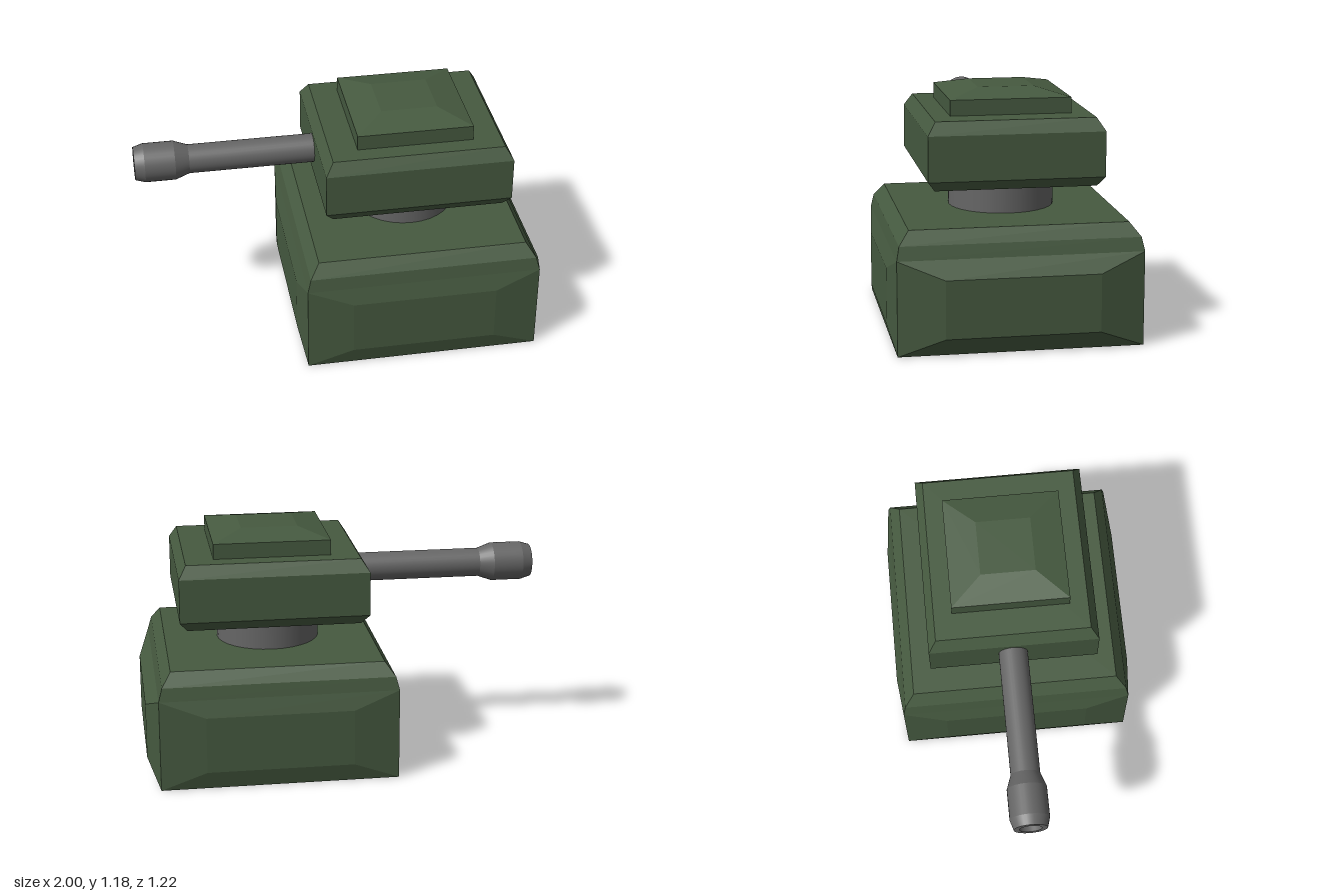
import * as THREE from 'three';

const green = new THREE.MeshStandardMaterial({ color: 0x465a40, flatShading: true });
const grey = new THREE.MeshStandardMaterial({ color: 0x666666 });
const greyOpen = new THREE.MeshStandardMaterial({ color: 0x666666, side: THREE.DoubleSide });

// Rectangle at height y, corners counter-clockwise seen from above
const rect = ([y, x0, x1, z]) => [[x0, y, z], [x1, y, z], [x1, y, -z], [x0, y, -z]];

// Quads to flat-shaded geometry
function quadGeometry(quads) {
  const pos = [];
  for (const [a, b, c, d] of quads) pos.push(...a, ...b, ...c, ...a, ...c, ...d);
  const geo = new THREE.BufferGeometry();
  geo.setAttribute('position', new THREE.Float32BufferAttribute(pos, 3));
  geo.computeVertexNormals();
  return geo;
}

// Quads joining two four-cornered loops, outer/lower loop first
const band = (a, b) => a.map((p, i) => [p, a[(i + 1) % 4], b[(i + 1) % 4], b[i]]);

// Stack of rectangles [y, x0, x1, halfDepth], closed at both ends
function stackQuads(levels) {
  const rings = levels.map(rect);
  const quads = [[...rings[0]].reverse(), rings[rings.length - 1]];
  for (let i = 0; i + 1 < rings.length; i++) quads.push(...band(rings[i], rings[i + 1]));
  return quads;
}

function add(group, name, geometry, material) {
  const mesh = new THREE.Mesh(geometry, material);
  mesh.name = name;
  group.add(mesh);
  return mesh;
}

export function createModel() {
  const model = new THREE.Group();
  model.name = 'gunTurret';

  // Base: rounded shoulders above four bulged side panels
  const low = rect([0, -0.225, 0.943, 0.583]);
  const high = rect([0.455, -0.225, 0.943, 0.583]);
  const quads = stackQuads([
    [0.455, -0.225, 0.943, 0.583], [0.52, -0.208, 0.925, 0.57], [0.585, -0.16, 0.88, 0.52],
  ]).slice(1);
  quads.push([...low].reverse());
  const panels = [
    [[0, 0.608], [0.72, 0.608]],
    [[1, 0.365], [1, -0.365]],
    [[0.72, -0.608], [0, -0.608]],
    [[-0.25, -0.365], [-0.25, 0.365]],
  ];
  panels.forEach(([[ax, az], [bx, bz]], i) => {
    const j = (i + 1) % 4;
    const inner = [[ax, 0.09, az], [bx, 0.09, bz], [bx, 0.37, bz], [ax, 0.37, az]];
    quads.push(inner, ...band([low[i], low[j], high[j], high[i]], inner));
  });
  add(model, 'base', quadGeometry(quads), green);

  // Swivel neck
  const neck = add(model, 'neck', new THREE.CylinderGeometry(0.257, 0.257, 0.18, 32), grey);
  neck.position.set(0.357, 0.664, 0);

  // Turret head with chamfered top and bottom
  add(model, 'turretHead', quadGeometry(stackQuads([
    [0.742, -0.065, 0.785, 0.385], [0.79, -0.105, 0.822, 0.419],
    [1.006, -0.105, 0.822, 0.419], [1.068, -0.065, 0.785, 0.38],
  ])), green);

  // Roof hatch with sloped lid
  add(model, 'hatch', quadGeometry(stackQuads([
    [1.06, 0.07, 0.645, 0.29], [1.143, 0.07, 0.645, 0.29], [1.18, 0.215, 0.495, 0.135],
  ])), green);

  // Barrel: each straight section gets its own points so the edges stay sharp
  const barrel = new THREE.Group();
  barrel.name = 'barrel';
  const profile = [
    [0.072, 0], [0.072, 0.64], [0.097, 0.71], [0.097, 0.86],
    [0.082, 0.91], [0.055, 0.91], [0.055, 0.75], [0, 0.75],
  ];
  const names = ['tube', 'flare', 'muzzle', 'muzzleChamfer', 'muzzleRim', 'bore', 'boreEnd'];
  names.forEach((name, i) => {
    const pts = [profile[i], profile[i + 1]].map(([r, y]) => new THREE.Vector2(r, y));
    add(barrel, name, new THREE.LatheGeometry(pts, 32), greyOpen);
  });
  barrel.rotation.z = Math.PI / 2;
  barrel.position.set(-0.09, 0.919, -0.005);
  model.add(barrel);

  return model;
}
